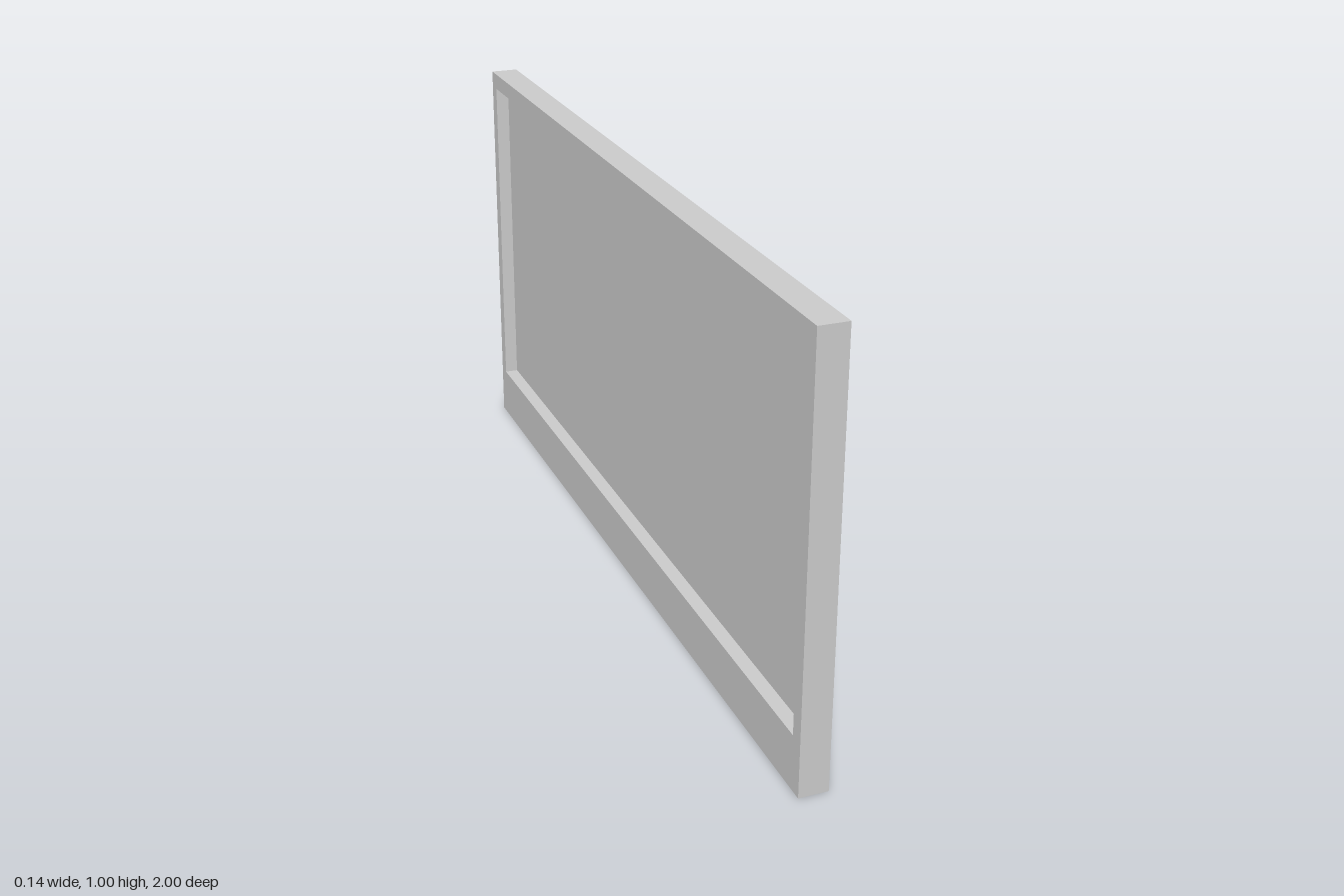
import * as THREE from 'three';
import { toCreasedNormals } from 'three/addons/utils/BufferGeometryUtils.js';

const material = new THREE.MeshStandardMaterial({ color: 0xcccccc });

function part(name, geometry, x = 0, y = 0, z = 0) {
  const mesh = new THREE.Mesh(geometry, material);
  mesh.name = name;
  mesh.position.set(x, y, z);
  return mesh;
}

// Rectangle outline from corner (x0, y0) to (x1, y1)
function rectangle(x0, y0, x1, y1, Type = THREE.Shape) {
  return new Type([[x0, y0], [x1, y0], [x1, y1], [x0, y1]].map(p => new THREE.Vector2(...p)));
}

// Extrude an outline drawn in the z-y plane towards +x
function extrudeX(shape, depth, options = {}) {
  return new THREE.ExtrudeGeometry(shape, { depth, bevelEnabled: false, ...options }).rotateY(Math.PI / 2);
}

export function createModel() {
  const model = new THREE.Group();

  // Door leaf: solid skin with a raised frame around the recessed inner side
  const skinX = -0.037, outerX = -0.003, innerX = -0.07;
  const skin = new THREE.BoxGeometry(outerX - skinX, 1, 2);
  model.add(part('doorSkin', skin, (skinX + outerX) / 2, 0.5, 0));

  const frame = rectangle(-1, 0, 1, 1);
  frame.holes.push(rectangle(-0.967, 0.127, 0.967, 0.96, THREE.Path));
  model.add(part('innerFrame', extrudeX(frame, skinX - innerX), innerX));

  // Handle
  const handle = new THREE.Group();
  handle.name = 'handle';
  model.add(handle);

  // Back plate with chamfered front edges
  const plate = extrudeX(rectangle(-0.14, -0.051, 0.14, 0.051), 0.009, {
    bevelEnabled: true, bevelThickness: 0.006, bevelSize: 0.014, bevelOffset: -0.014, bevelSegments: 1,
  });
  handle.add(part('backPlate', plate, -0.002, 0.071, 0.035));

  // Round rosette with a chamfered rim
  const y = 0.069, z = -0.047;
  const profile = [[0.031, 0], [0.031, 0.015], [0.025, 0.02], [0.018, 0.022], [0, 0.022]];
  const rosette = new THREE.LatheGeometry(profile.map(p => new THREE.Vector2(...p)), 32);
  handle.add(part('rosette', toCreasedNormals(rosette.rotateZ(-Math.PI / 2), 0.5), 0, y, z));

  // Lever: neck leaving the rosette, bend, then straight grip
  const path = new THREE.CurvePath();
  const v = (x, dz) => new THREE.Vector3(x, 0, dz);
  path.add(new THREE.LineCurve3(v(0.015, 0), v(0.038, 0)));
  path.add(new THREE.QuadraticBezierCurve3(v(0.038, 0), v(0.059, 0), v(0.059, 0.021)));
  path.add(new THREE.LineCurve3(v(0.059, 0.021), v(0.059, 0.158)));
  const radius = 0.0097;
  handle.add(part('lever', new THREE.TubeGeometry(path, 64, radius, 16), 0, y, z));
  handle.add(part('leverTip', new THREE.CircleGeometry(radius, 16), 0.059, y, z + 0.158));

  return model;
}
